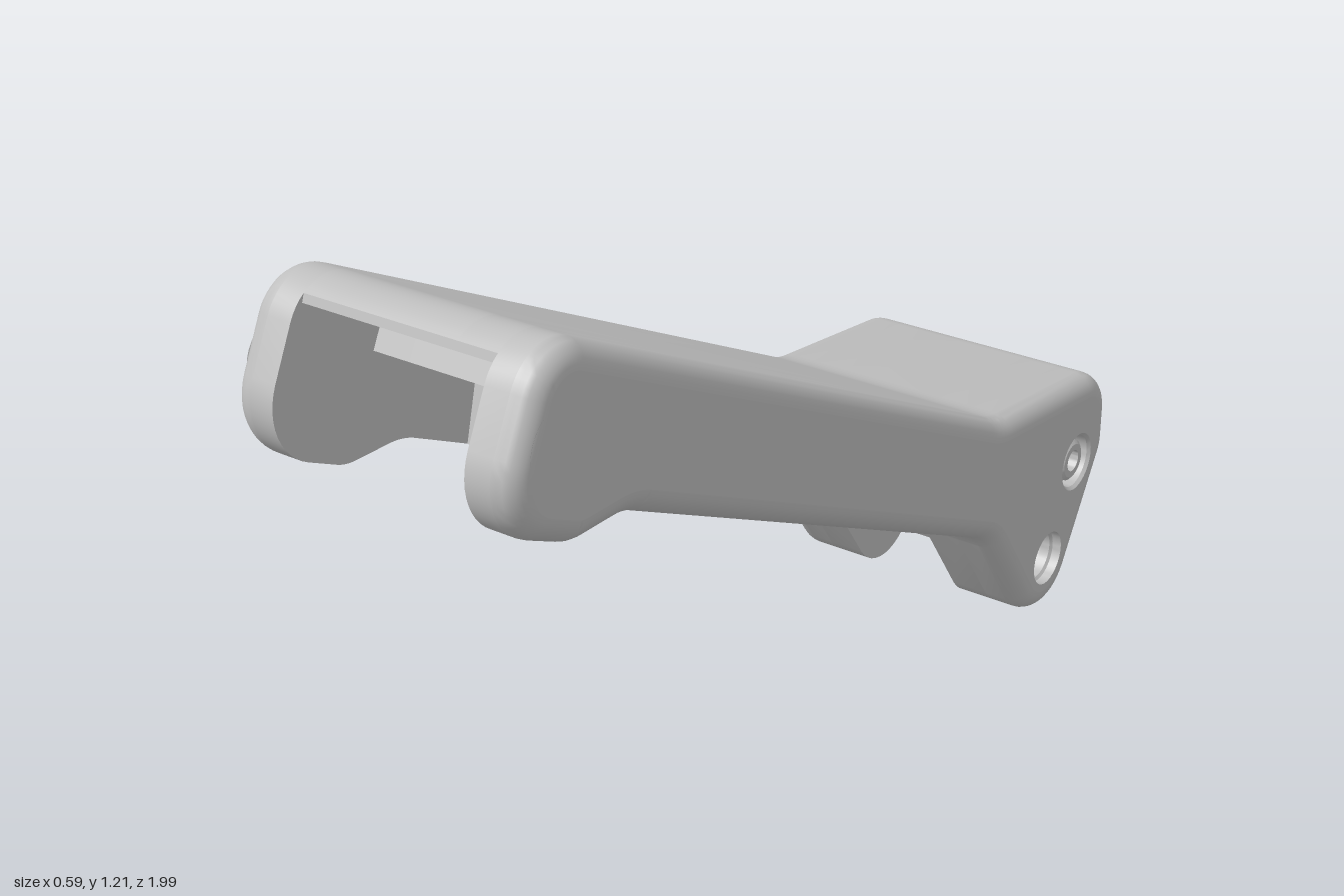
import * as THREE from 'three';
import { toCreasedNormals } from 'three/addons/utils/BufferGeometryUtils.js';

const V = (x, y) => new THREE.Vector2(x, y);
const HALF = 0.295, ROUND = 0.045, POCKET = 0.2, SLOT = 0.12;
const FLAT = HALF - ROUND;

// Rounds the corners [z, y, radius] of an outline; the result uses s = -z
function fillet(corners, steps = 12) {
  const pts = corners.map(([z, y]) => V(-z, y)), out = [];
  pts.forEach((p, i) => {
    const r = corners[i][2];
    const u = pts[(i + pts.length - 1) % pts.length].clone().sub(p).normalize();
    const v = pts[(i + 1) % pts.length].clone().sub(p).normalize();
    const half = Math.acos(u.dot(v)) / 2, t = r / Math.tan(half);
    const c = u.clone().add(v).normalize().multiplyScalar(r / Math.sin(half)).add(p);
    const a0 = u.clone().multiplyScalar(t).add(p).sub(c).angle();
    let da = v.clone().multiplyScalar(t).add(p).sub(c).angle() - a0;
    if (da > Math.PI) da -= 2 * Math.PI;
    if (da < -Math.PI) da += 2 * Math.PI;
    for (let k = 0; k <= steps; k++) {
      const a = a0 + da * k / steps;
      out.push(V(c.x + r * Math.cos(a), c.y + r * Math.sin(a)));
    }
  });
  return out;
}

// Moves a counterclockwise outline inward
function inset(pts, d) {
  const n = pts.length;
  return pts.map((p, i) => {
    const a = p.clone().sub(pts[(i + n - 1) % n]).normalize();
    const b = pts[(i + 1) % n].clone().sub(p).normalize();
    const t = a.add(b).normalize();
    return V(p.x - t.y * d, p.y + t.x * d);
  });
}

function shapeOf(pts, holes = []) {
  const s = new THREE.Shape(pts);
  for (const [x, y, r] of holes) s.holes.push(new THREE.Path().absarc(x, y, r, 0, Math.PI * 2, true));
  return s;
}

function slab(pts, holes, w0, w1) {
  const g = new THREE.ExtrudeGeometry(shapeOf(pts, holes), { depth: w1 - w0, bevelEnabled: false, curveSegments: 20 });
  return toCreasedNormals(g.translate(0, 0, w0), 0.5);
}

// Rounded edge running round the outline
function rim(pts) {
  const n = pts.length, pos = [], idx = [], K = 7;
  for (let k = 0; k <= K; k++) {
    const a = k / K * Math.PI / 2;
    for (const p of inset(pts, ROUND * (1 - Math.cos(a)))) pos.push(p.x, p.y, FLAT + ROUND * Math.sin(a));
  }
  for (let k = 0; k < K; k++) for (let i = 0; i < n; i++) {
    const a = k * n + i, b = k * n + (i + 1) % n;
    idx.push(a, b, b + n, a, b + n, a + n);
  }
  const g = new THREE.BufferGeometry();
  g.setAttribute('position', new THREE.Float32BufferAttribute(pos, 3));
  g.setIndex(idx);
  return toCreasedNormals(g, 0.6);
}

// Turned fitting around a cross axis; profile is [radius, w]
function turned(profile, x, y, crease) {
  const g = new THREE.LatheGeometry(profile.map(([r, w]) => V(r, w)), 40);
  return toCreasedNormals(g.rotateX(Math.PI / 2).translate(x, y, 0), crease);
}

// Mirrors to the other side and restores the corner order
function mirrored(geo) {
  const g = geo.index ? geo.toNonIndexed() : geo.clone();
  g.scale(1, 1, -1);
  for (const att of Object.values(g.attributes)) {
    const n = att.itemSize, a = att.array;
    for (let i = 0; i < att.count; i += 3) for (let c = 0; c < n; c++) {
      const p = (i + 1) * n + c, q = (i + 2) * n + c, t = a[p];
      a[p] = a[q];
      a[q] = t;
    }
  }
  return g;
}

export function createModel() {
  const model = new THREE.Group();
  model.name = 'leverArm';
  const lever = new THREE.Group();
  lever.name = 'lever';
  lever.rotation.y = Math.PI / 2;
  model.add(lever);
  const grey = new THREE.MeshStandardMaterial({ color: 0xbfbfbf, side: THREE.DoubleSide });
  grey.name = 'grey';
  const add = (name, geo) => {
    const m = new THREE.Mesh(geo, grey);
    m.name = name;
    lever.add(m);
  };
  const both = (name, geo) => {
    add(name + 'Left', geo);
    add(name + 'Right', mirrored(geo));
  };

  // Side outline, counterclockwise from the top front
  const full = fillet([
    [0.89, 1.255, 0.1], [1.03, 0.965, 0.12], [0.84, 0.873, 0.1], [0.7, 0.87, 0.15],
    [-0.5, 0.28, 0.15], [-0.759, -0.094, 0.12], [-1.0, 0.31, 0.1], [-1.0, 0.492, 0.1], [-0.53, 0.545, 0.2],
  ]);

  // Outline with the front pocket cut away
  const tip = full.filter(p => p.x > -0.91 && p.y > 1.0 && p.x < -0.6);
  const pocket = [V(-0.905, 1.188), V(-0.73, 1.1), V(-0.755, 1.05), V(-0.525, 0.935), V(-0.508, 0.915), V(-0.54, 0.791)];
  const rest = full.filter(p => p.x > -0.54);
  const middle = [...tip, ...pocket, ...rest];

  // Outline with the rear fork slot cut away as well
  const slot = [V(0.5415, 0.22), V(0.68, 0.22), V(0.7, 0.25), V(0.705, 0.37), V(0.75, 0.44), V(0.99, 0.44)];
  const centre = [...tip, ...pocket, ...rest.filter(p => p.x < 0.53 && p.y < 0.4), ...slot, ...rest.filter(p => p.y > 0.442)];

  const pivot = [0.752, 0.13], pin = [0.86, 0.32], dimple = [-0.87, 1.06];
  const bore = [[...pivot, 0.054]];
  add('armCore', slab(centre, [], -SLOT, SLOT));
  both('forkWall', slab(middle, bore, SLOT, POCKET));
  both('sideWall', slab(full, bore, POCKET, FLAT));
  both('roundedEdge', rim(full));
  const holes = [[...pivot, 0.06], [...pin, 0.065], [...dimple, 0.078]];
  both('sideFace', new THREE.ShapeGeometry(shapeOf(inset(full, ROUND), holes), 20).translate(0, 0, HALF));

  // Fittings in the side faces
  both('pivotHole', turned([[0.06, HALF], [0.06, 0.275], [0.054, 0.27], [0.054, FLAT]], ...pivot, 0.5));
  both('frontDimple', turned([[0.078, HALF], [0.07, 0.29], [0.05, 0.272], [0.025, 0.26], [0, 0.256]], ...dimple, 1));
  both('pinHead', turned([[0.065, HALF], [0.059, 0.288], [0.059, 0.262], [0.046, 0.262], [0.046, 0.28],
    [0.038, 0.286], [0.024, 0.286], [0.024, 0.258], [0, 0.258]], ...pin, 0.5));

  // Round pads on the inner walls of the fork
  both('innerPad', turned([[0.125, 0.12], [0.125, 0.112], [0, 0.112]], ...pin, 0.5));
  return model;
}
